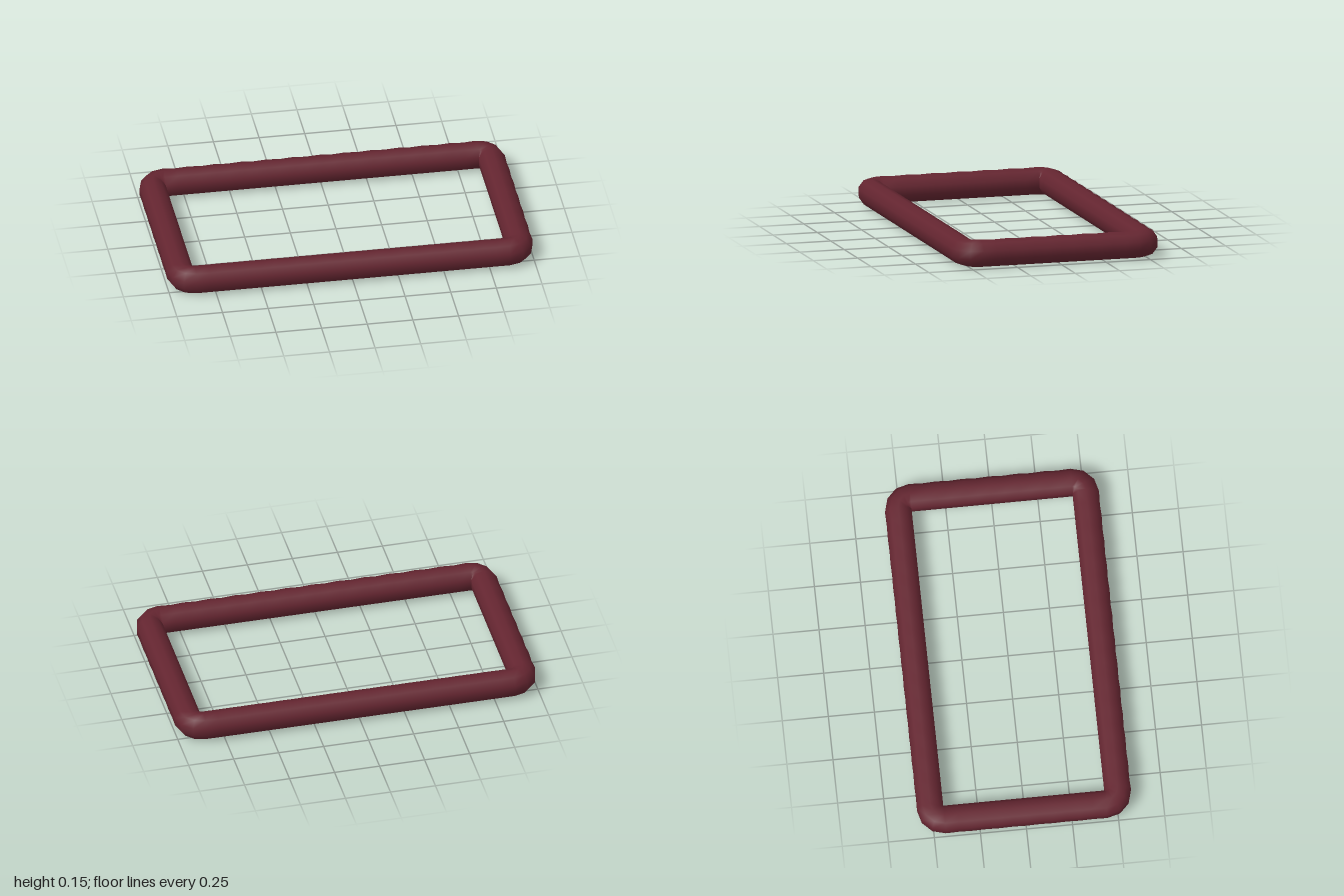
import * as THREE from 'three';

const SIDES = 10, R = 0.075;             // tube cross-section
const BEND = R * Math.cos(Math.PI / 10); // corners turn about the inner edge
const PX = 1 - 2 * BEND, PZ = 0.58 - 2 * BEND; // corner pivots

// Rings along the centre line: three-step corners joined by finely divided sides
function pathRings() {
  const corners = [[1, 1], [-1, 1], [-1, -1], [1, -1]];
  const rings = [];
  corners.forEach(([sx, sz], k) => {
    const [nx, nz] = corners[(k + 1) % 4];
    const start = k * Math.PI / 2;
    for (let s = 0; s <= 3; s++) {
      rings.push({ x: sx * PX, z: sz * PZ, a: start + s * Math.PI / 6, dip: 0 });
    }
    const a = start + Math.PI / 2;
    const n = k % 2 === 0 ? 24 : 12;
    for (let s = 1; s < n; s++) {
      const t = s / n;
      rings.push({
        x: THREE.MathUtils.lerp(sx, nx, t) * PX,
        z: THREE.MathUtils.lerp(sz, nz, t) * PZ,
        a, dip: s % 2 ? 0.004 : 0,
      });
    }
  });
  return rings;
}

function frameGeometry() {
  const rings = pathRings(), pos = [], index = [];
  rings.forEach(({ x, z, a, dip }, i) => {
    const next = (i + 1) % rings.length;
    for (let j = 0; j < SIDES; j++) {
      const t = Math.PI / 10 + j * 2 * Math.PI / SIDES;
      // slight ripple on the upper, outer side only
      const r = R - dip * Math.max(0, Math.cos(t - Math.PI / 4));
      const out = BEND + r * Math.cos(t);
      pos.push(x + out * Math.cos(a), R + r * Math.sin(t), z + out * Math.sin(a));
      const k = (j + 1) % SIDES;
      const p = i * SIDES + j, q = i * SIDES + k;
      const u = next * SIDES + j, v = next * SIDES + k;
      index.push(p, q, u, q, v, u);
    }
  });
  const geo = new THREE.BufferGeometry();
  geo.setAttribute('position', new THREE.Float32BufferAttribute(pos, 3));
  geo.setIndex(index);
  geo.computeVertexNormals();
  return geo;
}

export function createModel() {
  const model = new THREE.Group();
  model.name = 'rectangularFrame';
  const tube = new THREE.Mesh(frameGeometry(), new THREE.MeshStandardMaterial({ color: 0x642530 }));
  tube.name = 'frameTube';
  model.add(tube);
  return model;
}
